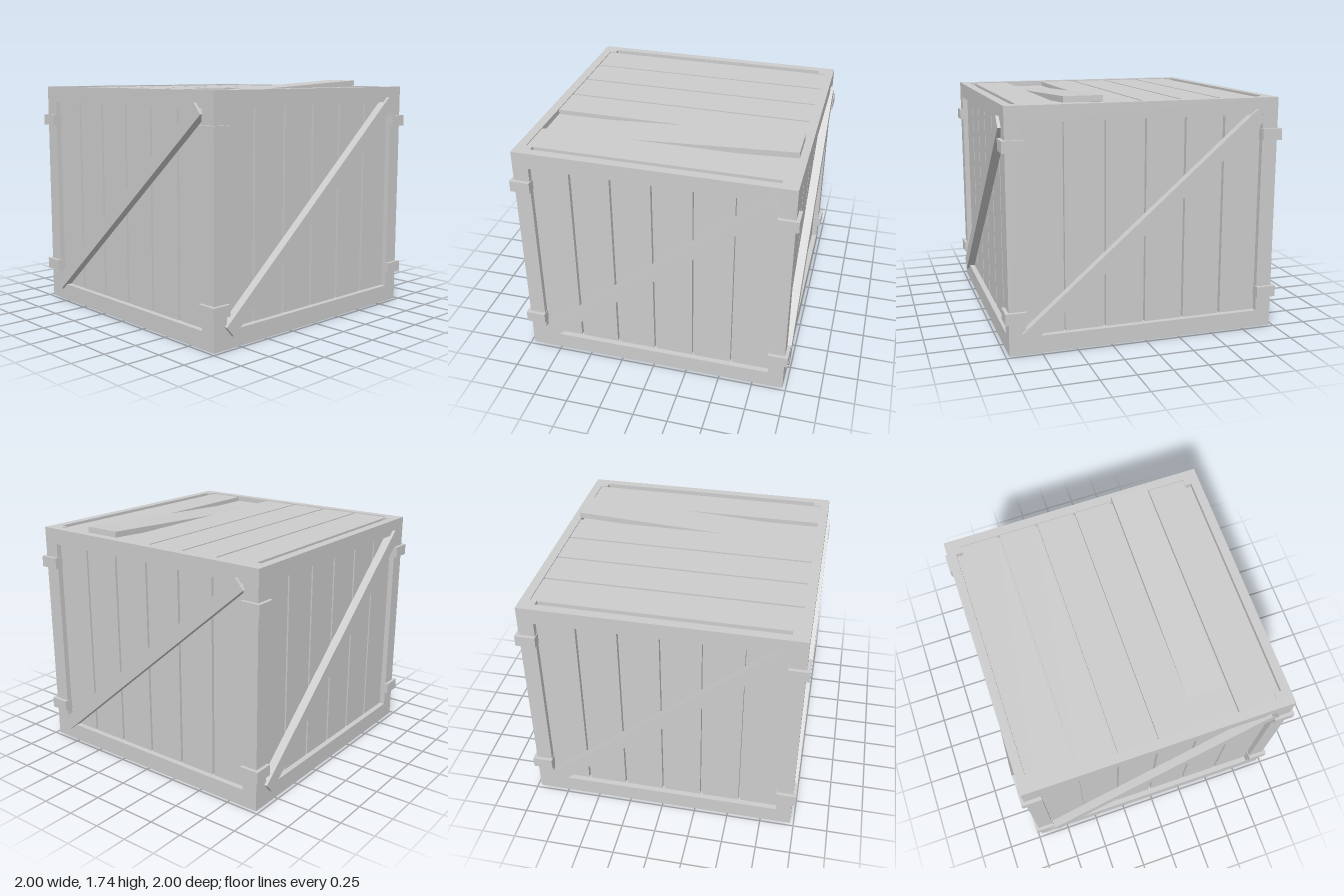
import * as THREE from 'three';

const HEIGHT = 1.69;
const HALF = 0.975;
const PLANKS = 6;
const PITCH = 0.29;
const PLANK_W = 0.273;

export function createModel() {
  const crate = new THREE.Group();
  crate.name = 'crate';
  const wood = new THREE.MeshStandardMaterial({ color: 0xcccccc });
  wood.name = 'plain grey';

  // Box given by its minimum and maximum corners
  function block(parent, name, [x0, y0, z0], [x1, y1, z1]) {
    const mesh = new THREE.Mesh(new THREE.BoxGeometry(x1 - x0, y1 - y0, z1 - z0), wood);
    mesh.position.set((x0 + x1) / 2, (y0 + y1) / 2, (z0 + z1) / 2);
    mesh.name = name;
    parent.add(mesh);
    return mesh;
  }

  // Backing that closes the gaps between planks
  block(crate, 'innerCore', [-0.9, 0.05, -0.9], [0.9, 1.63, 0.9]);
  block(crate, 'lidBacking', [-0.91, 1.6, -0.91], [0.91, 1.65, 0.91]);
  block(crate, 'floor', [-0.91, 0.035, -0.91], [0.91, 0.09, 0.91]);

  // Four equal sides, each turned a quarter
  for (let i = 0; i < 4; i++) {
    const side = new THREE.Group();
    side.name = 'side' + (i + 1);
    side.rotation.y = (i * Math.PI) / 2;
    crate.add(side);

    block(side, 'cornerPost', [0.86, 0, 0.86], [HALF, HEIGHT, HALF]);
    block(side, 'bottomRail', [-0.86, 0, 0.91], [0.86, 0.125, HALF]);
    block(side, 'topRail', [-0.86, 1.575, 0.91], [0.86, HEIGHT, HALF]);

    // Upright planks set back from the frame
    for (let p = 0; p < PLANKS; p++) {
      const x = (p - (PLANKS - 1) / 2) * PITCH;
      block(side, 'sidePlank', [x - PLANK_W / 2, 0.1, 0.88], [x + PLANK_W / 2, 1.6, 0.935]);
    }

    // Diagonal brace
    const brace = new THREE.Mesh(new THREE.BoxGeometry(2.229, 0.098, 0.062), wood);
    brace.name = 'diagonalBrace';
    brace.position.set(-0.005, 0.848, 0.966);
    brace.rotation.z = Math.atan2(1.453, 1.69);
    side.add(brace);

    // Corner clips
    for (const y of [0.23, 1.39]) {
      block(side, 'cornerClip', [0.855, y, 0.855], [1, y + 0.08, 1]);
    }
  }

  // Lid planks, with one place left open for the loose plank
  for (let p = 0; p < PLANKS; p++) {
    if (p === 4) continue;
    const x = (p - (PLANKS - 1) / 2) * PITCH;
    block(crate, 'lidPlank', [x - PLANK_W / 2, 1.64, -0.91], [x + PLANK_W / 2, 1.683, 0.91]);
  }

  // Loose plank, lifted at the back and sinking into the lid at the front
  const slope = 0.053;
  const loose = new THREE.Mesh(new THREE.BoxGeometry(0.274, 0.042, 1.72), wood);
  loose.name = 'loosePlank';
  loose.rotation.x = Math.atan(slope);
  loose.position.set(0.433, 1.69 - 0.021, -0.06);
  // Slide the plank along its slope until its back end overhangs the lid slightly
  loose.position.y -= slope * 0.003;
  crate.add(loose);

  return crate;
}
